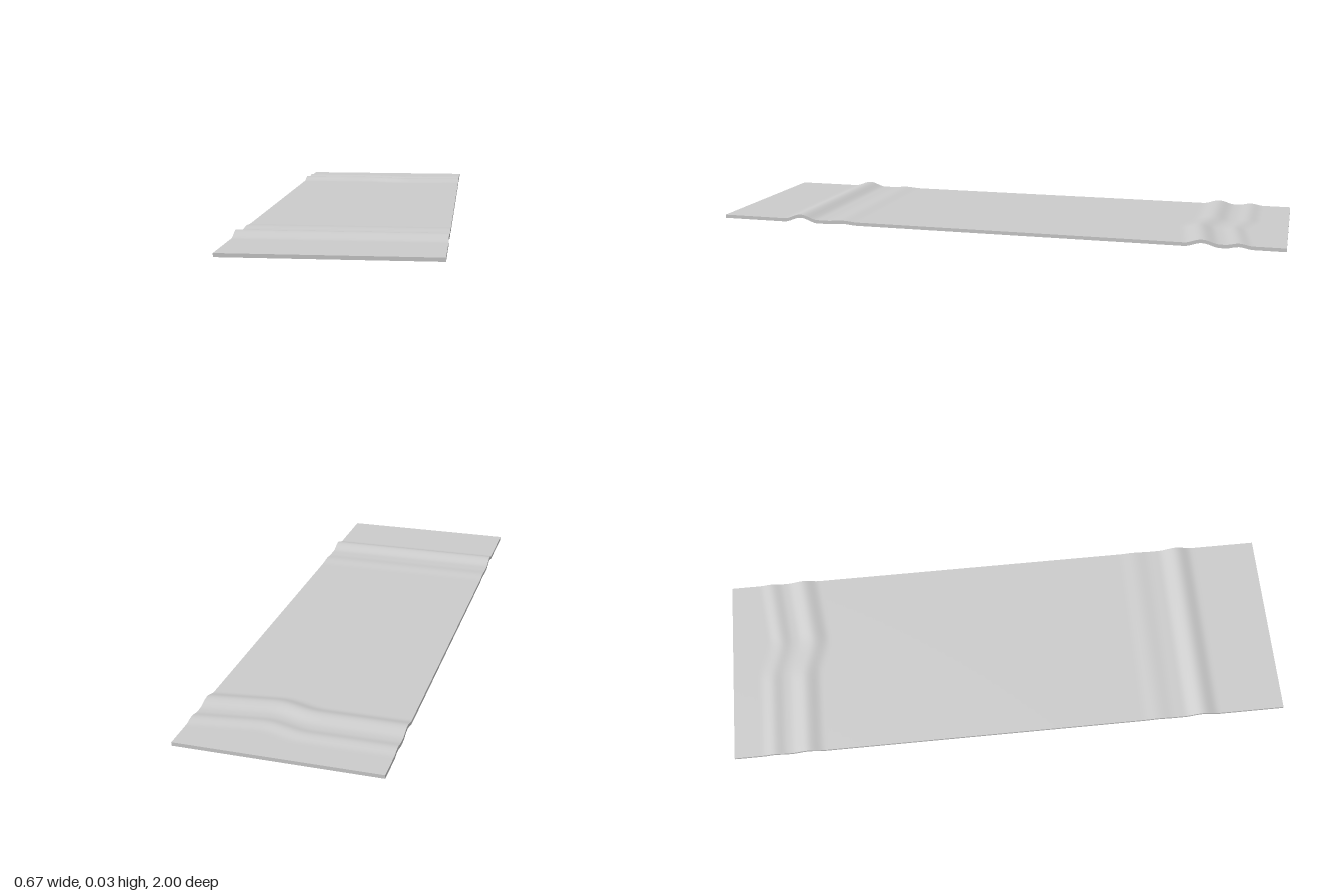
import * as THREE from 'three';

const WIDTH = 0.665, LENGTH = 2, THICK = 0.012;

// Ripples across the mat: centre z, half width, height, and whether they kink sideways
const ripples = [
  { z: 0.70, half: 0.065, height: 0.017, kink: 0 },
  { z: 0.54, half: 0.06, height: 0.004, kink: 0 },
  { z: -0.735, half: 0.06, height: 0.013, kink: 1 },
  { z: -0.855, half: 0.045, height: 0.007, kink: 1 },
];

// Sideways shift of the kinked ripples: straight, then forward, then easing back
function kinkShift(x) {
  const rise = THREE.MathUtils.smoothstep(x, -0.05, 0.1);
  const fall = THREE.MathUtils.clamp((x - 0.1) / 0.23, 0, 1);
  return 0.035 * rise - 0.03 * fall;
}

function lift(x, z) {
  let y = 0;
  for (const r of ripples) {
    const d = (z - r.z - r.kink * kinkShift(x)) / r.half;
    if (Math.abs(d) < 1) y += r.height * 0.5 * (1 + Math.cos(Math.PI * d));
  }
  return y;
}

export function createModel() {
  const group = new THREE.Group();
  group.name = 'rippledMat';

  // Thin slab, top and underside raised together along the ripples
  const geometry = new THREE.BoxGeometry(WIDTH, THICK, LENGTH, 32, 1, 200);
  geometry.translate(0, THICK / 2, 0);
  const p = geometry.attributes.position;
  for (let i = 0; i < p.count; i++) {
    p.setY(i, p.getY(i) + lift(p.getX(i), p.getZ(i)));
  }
  geometry.computeVertexNormals();

  const mat = new THREE.Mesh(geometry, new THREE.MeshStandardMaterial({ color: 0xcccccc }));
  mat.name = 'mat';
  group.add(mat);
  return group;
}
